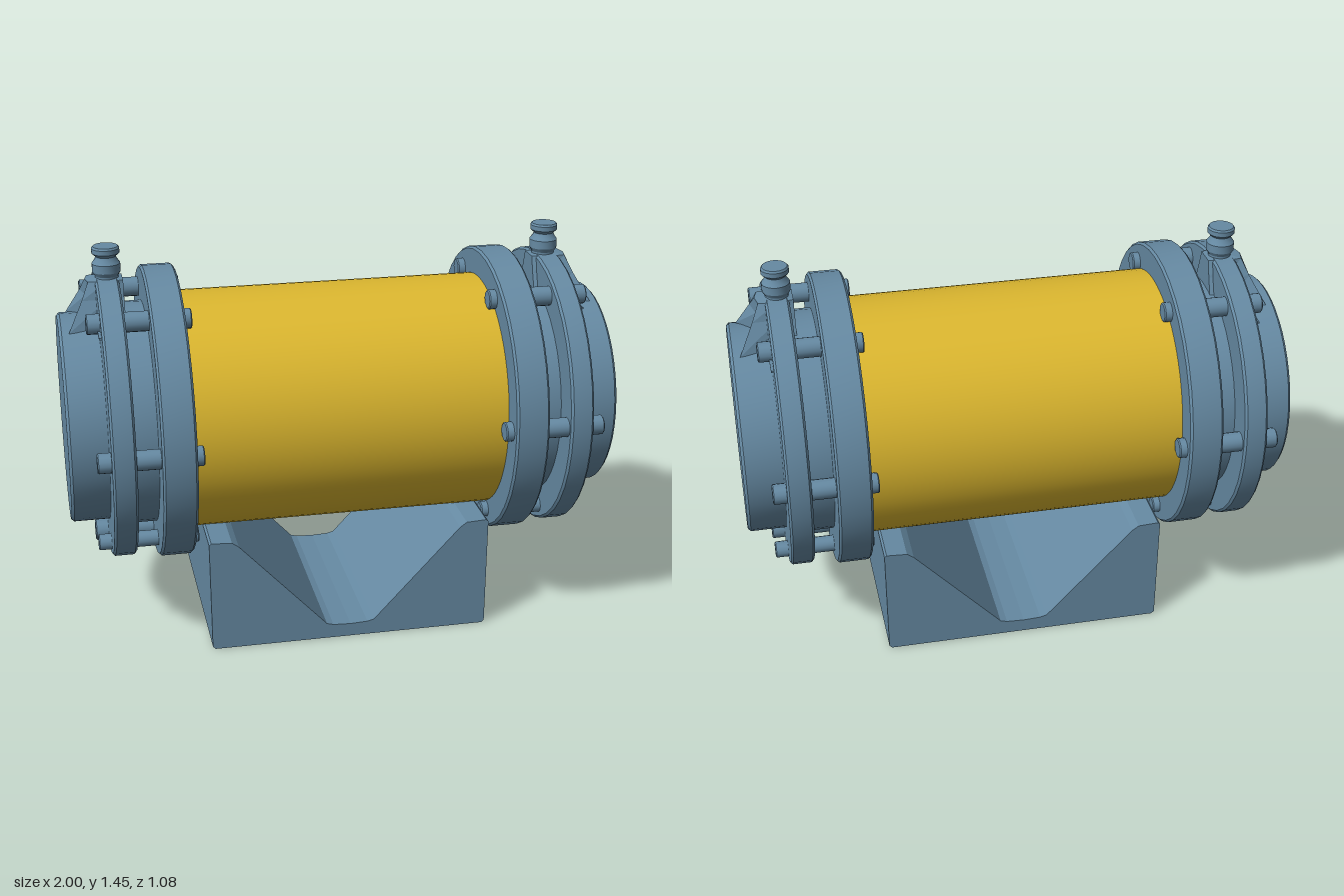
import * as THREE from 'three';
import { toCreasedNormals } from 'three/addons/utils/BufferGeometryUtils.js';

const AXIS_Y = 0.815;

export function createModel() {
  const steel = new THREE.MeshStandardMaterial({ color: 0x668aa3 });
  steel.name = 'steelBlue';
  const yellow = new THREE.MeshStandardMaterial({ color: 0xdcb72f });
  yellow.name = 'yellow';

  const model = new THREE.Group();
  model.name = 'pipeUnit';

  const add = (parent, name, geometry, material, x = 0, y = 0, z = 0) => {
    const mesh = new THREE.Mesh(geometry, material);
    mesh.name = name;
    mesh.position.set(x, y, z);
    parent.add(mesh);
    return mesh;
  };

  // Solid disc along x from x0 to x1 with small chamfers
  const disc = (r, x0, x1, sides, c = 0.008) => {
    const pts = [[0, x0], [r - c, x0], [r, x0 + c], [r, x1 - c], [r - c, x1], [0, x1]]
      .map(([a, b]) => new THREE.Vector2(a, b));
    return toCreasedNormals(new THREE.LatheGeometry(pts, sides).rotateZ(-Math.PI / 2), 0.6);
  };

  // Central barrel
  add(model, 'barrel', disc(0.44, -0.6, 0.6, 64, 0.002), yellow, 0, AXIS_Y);

  // Saddle base with a V-shaped cutout
  const half = [[0.51, 0], [0.52, 0.01], [0.523, 0.425], [0.515, 0.432], [0.44, 0.428], [0.415, 0.41],
    [0.09, 0.06], [0.065, 0.053]];
  const outline = [...half, [0, 0.05], ...half.slice().reverse().map(([x, y]) => [-x, y])]
    .map(([x, y]) => new THREE.Vector2(x, y));
  const saddle = new THREE.ExtrudeGeometry(new THREE.Shape(outline), { depth: 0.77, bevelEnabled: false });
  saddle.translate(0, 0, -0.385);
  add(model, 'saddleBase', saddle, steel);

  // Flared foot under the port: outline rings joined from bottom to top
  const star = [[0.07, 0], [0.145, 0.13], [0, 0.1], [-0.06, 0.1], [-0.06, -0.1], [0, -0.1], [0.145, -0.13]];
  const neck = [[0.075, 0], [0.065, 0.045], [0, 0.055], [-0.06, 0.04], [-0.06, -0.04], [0, -0.055], [0.065, -0.045]];
  const rings = [
    star.map(([x, z]) => [x, 1.175, z]),
    star.map(([x, z], i) => [(x + neck[i][0] * 2) / 3, 1.275, (z + neck[i][1] * 2) / 3]),
    neck.map(([x, z]) => [x, 1.335, z]),
    neck.map(() => [0, 1.345, 0]),
  ];
  const corners = [];
  for (let r = 0; r < rings.length - 1; r++) {
    for (let i = 0; i < star.length; i++) {
      const j = (i + 1) % star.length;
      const [a, b, c, d] = [rings[r][i], rings[r + 1][i], rings[r + 1][j], rings[r][j]];
      corners.push(...a, ...b, ...d, ...b, ...c, ...d);
    }
  }
  const foot = new THREE.BufferGeometry();
  foot.setAttribute('position', new THREE.Float32BufferAttribute(corners, 3));
  foot.computeVertexNormals();

  // Port with two collars
  const port = toCreasedNormals(new THREE.LatheGeometry(
    [[0, 1.3], [0.042, 1.3], [0.042, 1.345], [0.051, 1.36], [0.051, 1.39], [0.04, 1.405], [0.036, 1.415],
      [0.05, 1.428], [0.05, 1.445], [0.045, 1.452], [0, 1.452]].map(([a, b]) => new THREE.Vector2(a, b)), 18), 0.5);

  // Bolts as z, y, radius
  const bolts = [[0.21, 1.232, 0.036], [-0.21, 1.232, 0.036], [0.474, 0.818, 0.036], [-0.474, 0.818, 0.036],
    [0.21, 0.393, 0.03], [-0.21, 0.393, 0.03], [0, 0.345, 0.04]];

  // One end assembly, repeated on the other side by a half turn
  for (const side of ['left', 'right']) {
    const end = new THREE.Group();
    end.name = side + 'End';
    add(end, 'innerFlange', disc(0.54, 0.568, 0.69, 40), steel, 0, AXIS_Y);
    add(end, 'flangeNeck', disc(0.41, 0.68, 0.79, 40, 0.001), steel, 0, AXIS_Y);
    add(end, 'outerFlange', disc(0.526, 0.775, 0.86, 40), steel, 0, AXIS_Y);
    add(end, 'endCap', disc(0.385, 0.85, 1, 48, 0.01), steel, 0, 0.812);
    add(end, 'portFoot', foot, steel, 0.82);
    add(end, 'port', port, steel, 0.815);
    // Thin ledge behind the upper bolts
    add(end, 'ledge', new THREE.BoxGeometry(0.03, 0.006, 0.64), steel, 0.855, 1.212);
    for (const [z, y, r] of bolts) add(end, 'bolt', disc(r, 0.54, 0.908, 14, 0.004), steel, 0, y, z);
    if (side === 'right') end.rotation.y = Math.PI;
    model.add(end);
  }
  return model;
}
